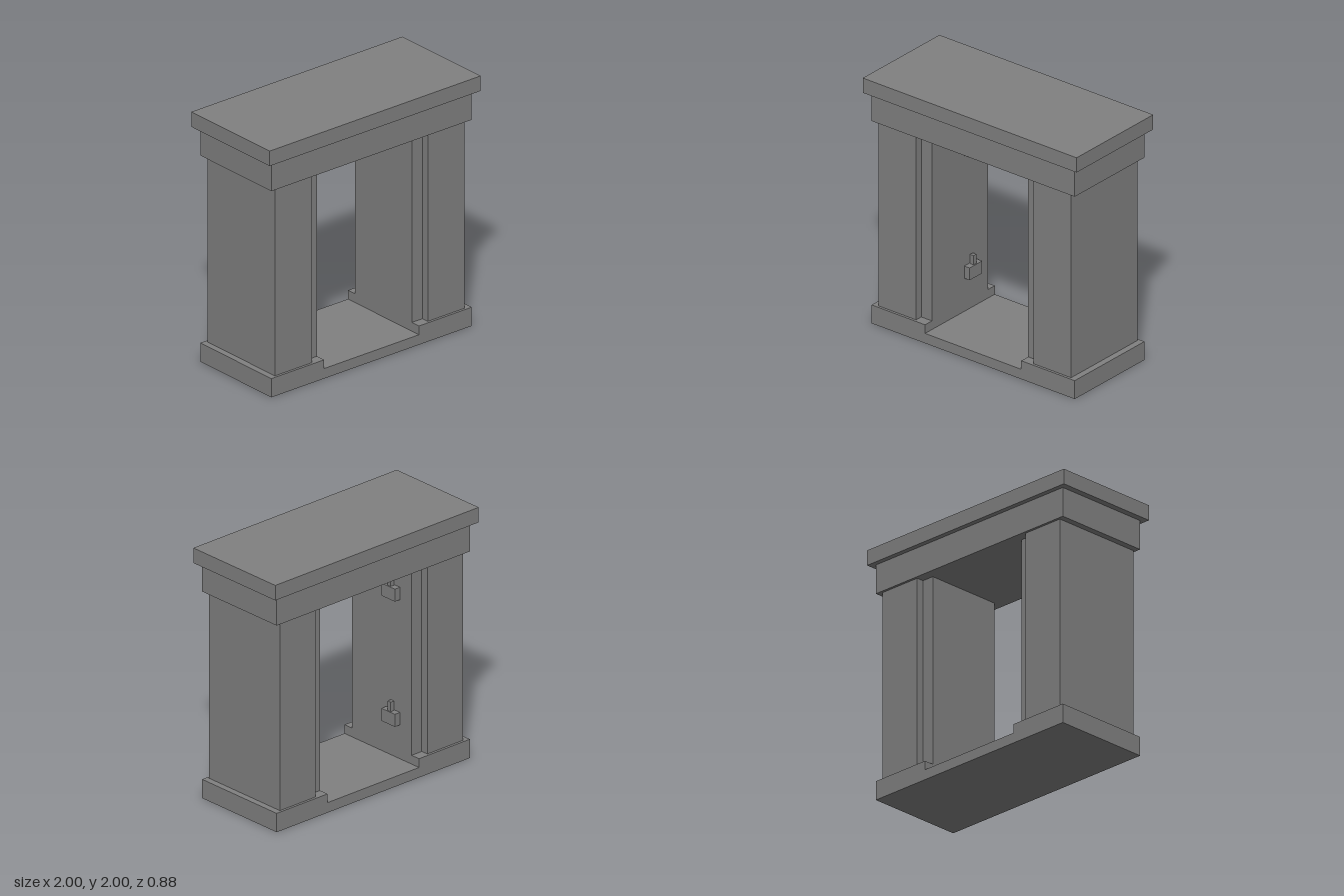
import * as THREE from 'three';

export function createModel() {
  const model = new THREE.Group();
  model.name = 'doorFrame';
  const stone = new THREE.MeshStandardMaterial({ color: 0x808080 });
  stone.name = 'grey stone';

  // Box given by its lowest and highest corner
  function block(name, [x0, y0, z0], [x1, y1, z1], parent = model) {
    const mesh = new THREE.Mesh(new THREE.BoxGeometry(x1 - x0, y1 - y0, z1 - z0), stone);
    mesh.position.set((x0 + x1) / 2, (y0 + y1) / 2, (z0 + z1) / 2);
    mesh.name = name;
    parent.add(mesh);
  }

  // Threshold, lintel and cornice span the full width
  block('threshold', [-0.45, 0, -0.4], [0.45, 0.08, 0.4]);
  block('lintel', [-0.95, 1.65, -0.4], [0.95, 1.88, 0.4]);
  block('cornice', [-1, 1.88, -0.44], [1, 2, 0.44]);

  // Plinth, pillar and recessed jamb on each side
  for (const [side, s] of [['left', 1], ['right', -1]]) {
    const mirrored = (name, a, b, z, y0, y1) =>
      block(side + name, [Math.min(s * a, s * b), y0, -z], [Math.max(s * a, s * b), y1, z]);
    mirrored('Plinth', 0.45, 0.95, 0.4, 0, 0.15);
    mirrored('Pillar', 0.55, 0.9, 0.38, 0.15, 1.65);
    mirrored('Jamb', 0.45, 0.55, 0.32, 0.15, 1.65);
  }

  // Hinge brackets with upright pins on the right jamb
  for (const [name, y] of [['lowerHinge', 0.35], ['upperHinge', 1.35]]) {
    const hinge = new THREE.Group();
    hinge.name = name;
    hinge.position.y = y;
    block('hingeBracket', [-0.45, 0, -0.195], [-0.4, 0.1, -0.05], hinge);
    block('hingePin', [-0.442, 0.1, -0.14], [-0.409, 0.175, -0.107], hinge);
    model.add(hinge);
  }

  return model;
}
